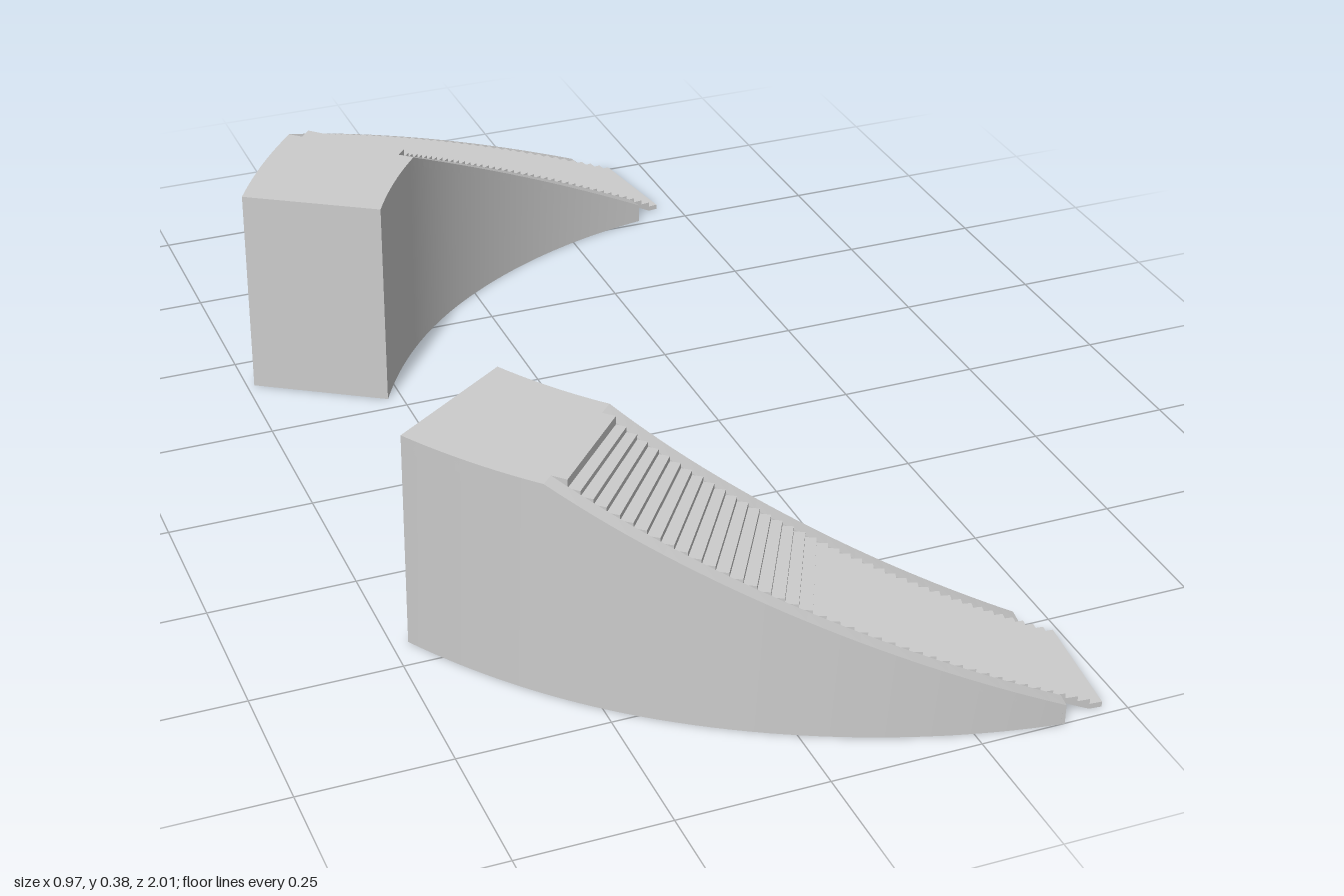
import * as THREE from 'three';

const R_IN = 1.062, R_OUT = 1.312;          // faces of the curved side walls
const S_IN = 1.091, S_OUT = 1.286;          // width of the steps between the rails
const TOP = 0.383, FOOT = 0.035;            // landing height, rail height at the foot
const RAIL_END = 34.8, STAIR_END = 33.6, SWEEP = 46; // degrees from the foot
const STEPS = 40, RISE = 0.0092, STEP_START = -3.1;

const material = new THREE.MeshStandardMaterial({ color: 0xcccccc, side: THREE.DoubleSide });

const range = (a, b, n) => Array.from({ length: n + 1 }, (_, i) => a + (b - a) * i / n);
const railTop = a => Math.min(TOP, FOOT + (TOP - FOOT) * a / RAIL_END);
// The path swings a little wide of a true arc towards the upper flight
const bulge = a => 0.019 * Math.cos(Math.PI / 2 * (a - 26) / (a < 26 ? 38 : 20));

// One curved staircase: arc centre, start angle and side (+1 front, -1 back)
function staircase(name, cx, cz, start, side) {
  const group = new THREE.Group();
  group.name = name;

  const point = (a, r, y) => {
    const t = THREE.MathUtils.degToRad(start + a), d = r + bulge(a);
    return [cx + d * Math.cos(t), y, side * (cz + d * Math.sin(t))];
  };

  function add(partName, positions, index) {
    const g = new THREE.BufferGeometry();
    g.setAttribute('position', new THREE.Float32BufferAttribute(positions.flat(), 3));
    if (index) g.setIndex(index);
    g.computeVertexNormals();
    const mesh = new THREE.Mesh(g, material);
    mesh.name = partName;
    group.add(mesh);
  }

  // Smooth upright wall following the path
  function wall(partName, r, flip) {
    const angles = [...range(0, RAIL_END, 30), ...range(RAIL_END, SWEEP, 10).slice(1)];
    const pts = [], index = [];
    angles.forEach((a, i) => {
      pts.push(point(a, r, 0), point(a, r, railTop(a)));
      if (i === 0) return;
      const k = 2 * i;
      const [p, q] = flip ? [k, k - 2] : [k - 2, k];
      index.push(p, q, q + 1, p, q + 1, p + 1);
    });
    add(partName, pts, index);
  }

  // Solid of four-cornered section swept along the path, with capped ends
  function block(partName, angles, r0, r1, low, high) {
    const tris = [];
    const quad = (a, b, c, d) => {
      if (side > 0) tris.push(a, b, c, a, c, d);
      else tris.push(a, c, b, a, d, c);
    };
    const rings = angles.map(a => [
      point(a, r0, low(a)), point(a, r1, low(a)), point(a, r1, high(a)), point(a, r0, high(a))
    ]);
    for (let i = 0; i + 1 < rings.length; i++) {
      const p = rings[i], q = rings[i + 1];
      for (let j = 0; j < 4; j++) {
        const k = (j + 1) % 4;
        quad(p[j], q[j], q[k], p[k]);
      }
    }
    const last = rings[rings.length - 1];
    quad(...rings[0]);
    quad(last[3], last[2], last[1], last[0]);
    add(partName, tris);
  }

  // Hollow shell, open underneath and at the foot
  wall('outerWall', R_OUT, side > 0);
  wall('innerWall', R_IN, side < 0);
  add('endWall', [
    point(SWEEP, R_IN, 0), point(SWEEP, R_OUT, 0), point(SWEEP, R_OUT, TOP), point(SWEEP, R_IN, TOP)
  ], side > 0 ? [0, 2, 1, 0, 3, 2] : [0, 1, 2, 0, 2, 3]);

  // Sloping rails either side of the steps, each with a short foot
  for (const [label, r0, r1] of [['inner', R_IN, S_IN], ['outer', S_OUT, R_OUT]]) {
    block(label + 'Rail', range(0, RAIL_END, 30), r0, r1, a => railTop(a) - 0.017, railTop);
    block(label + 'RailFoot', [0, 0.25], r0, r1, () => 0, railTop);
  }

  // Landing, reaching between the rails to the top step
  const landingLow = () => TOP - 0.025, landingTop = () => TOP;
  block('landing', range(RAIL_END, SWEEP, 10), R_IN, R_OUT, landingLow, landingTop);
  block('landingEdge', [STAIR_END, RAIL_END], S_IN, S_OUT, landingLow, landingTop);

  // Steps with level treads over one smooth sloping underside
  const pitch = (STAIR_END - STEP_START) / STEPS;
  const underside = a => Math.max(0, ((a - STEP_START) / pitch - 1) * RISE);
  for (let i = 0; i < STEPS; i++) {
    const a = STEP_START + i * pitch;
    block('step', [a, a + pitch], S_IN, S_OUT, underside, () => (i + 1) * RISE);
  }
  return group;
}

export function createModel() {
  const model = new THREE.Group();
  model.name = 'curvedStaircases';
  model.add(
    staircase('frontStaircase', 0.608, -0.302, 99.5, 1),
    staircase('backStaircase', 0.622, -0.286, 101.7, -1)
  );
  return model;
}
